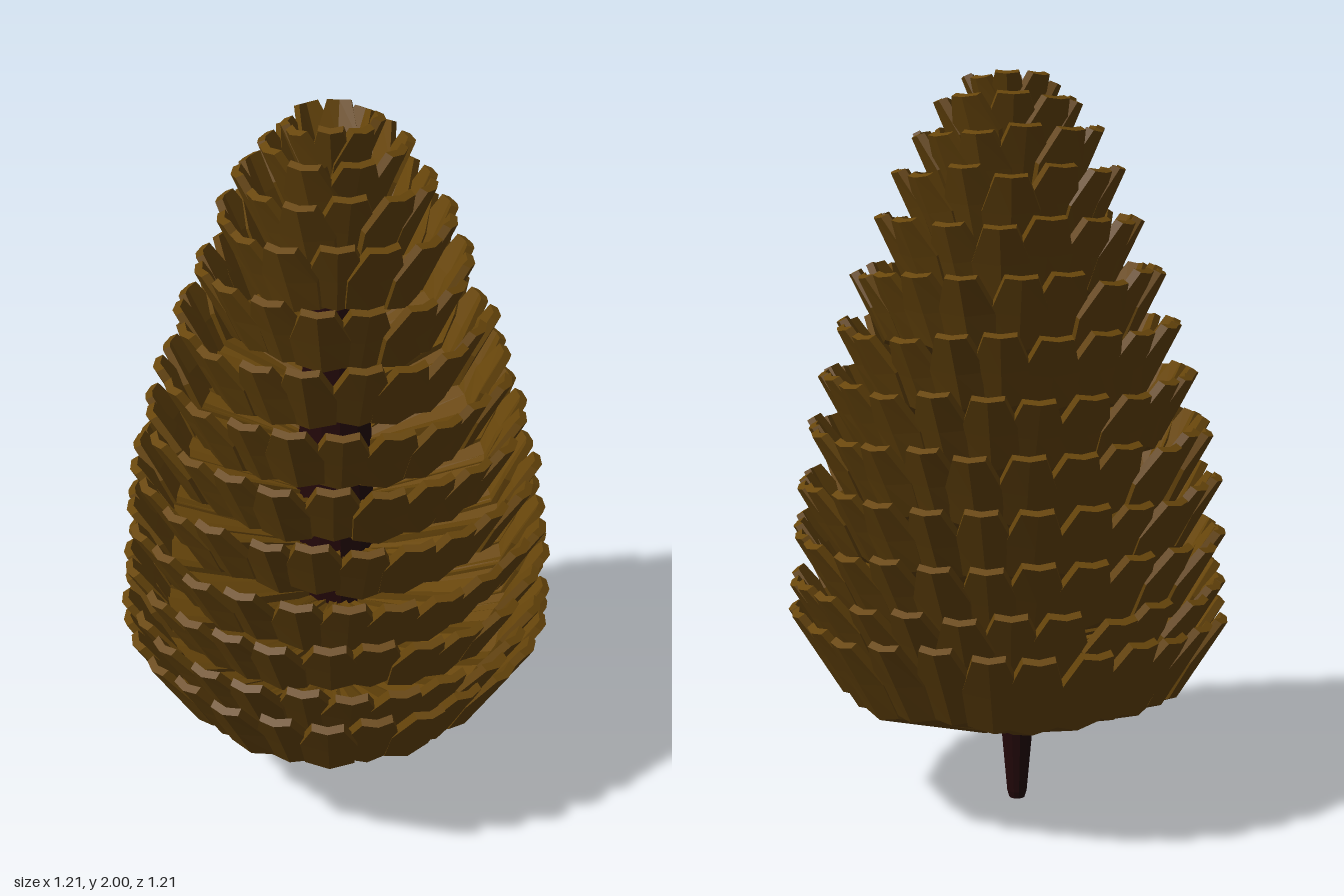
import * as THREE from 'three';
import { mergeGeometries } from 'three/addons/utils/BufferGeometryUtils.js';

const scaleBrown = new THREE.MeshStandardMaterial({ color: 0x68460b });
scaleBrown.name = 'scale brown';
const woodDark = new THREE.MeshStandardMaterial({ color: 0x220709 });
woodDark.name = 'dark wood';

// Small seeded random generator
let seed = 7;
const rand = () => (seed = (seed * 16807) % 2147483647) / 2147483647;
const jitter = (a) => (rand() - 0.5) * 2 * a;

// One keeled scale: a folded plate lofted along a profile of [radius, height, width, fold]
function scaleGeometry(profile, thickness) {
  const rings = profile.map(([r, y, w, fold], i) => {
    const p = profile[Math.max(i - 1, 0)], q = profile[Math.min(i + 1, profile.length - 1)];
    const len = Math.hypot(q[0] - p[0], q[1] - p[1]);
    const nr = -(q[1] - p[1]) / len, ny = (q[0] - p[0]) / len;
    const at = (x, n) => [x, y + ny * n, r + nr * n];
    const h = w / 2, t = thickness;
    return [at(-h, t + fold), at(0, t), at(h, t + fold), at(h, fold), at(0, 0), at(-h, fold)];
  });
  const pos = [];
  const quad = (a, b, c, d) => pos.push(...a, ...b, ...c, ...a, ...c, ...d);
  for (let i = 0; i < rings.length - 1; i++) {
    for (let j = 0; j < 6; j++) {
      const k = (j + 1) % 6;
      quad(rings[i][j], rings[i + 1][j], rings[i + 1][k], rings[i][k]);
    }
  }
  const e = rings[rings.length - 1];
  quad(e[0], e[5], e[4], e[1]);
  quad(e[1], e[4], e[3], e[2]);
  const g = new THREE.BufferGeometry();
  g.setAttribute('position', new THREE.Float32BufferAttribute(pos, 3));
  g.computeVertexNormals();
  return g;
}

// A ring of scales: a flat narrow root, then a steep blade up to the given tip radius and height
function tier(tipR, tipY, index, total) {
  const f = index / (total - 1);
  const count = Math.max(8, Math.round((2 * Math.PI * tipR) / 0.14));
  const width = Math.min(0.15, ((2 * Math.PI * tipR) / count) * 1.08);
  const rise = index === 0 ? 0.22 : 0.185;
  const run = index === 0 ? 0.135 : THREE.MathUtils.lerp(0.115, 0.075, f);
  const rootR = THREE.MathUtils.lerp(0.09, 0.03, f);
  const parts = [];
  for (let i = 0; i < count; i++) {
    const R = tipR + jitter(0.01), Y = tipY + jitter(0.014);
    const kinkR = R - run, kinkY = Y - rise;
    const rootY = kinkY - 0.33 * (kinkR - rootR);
    const g = scaleGeometry([
      [rootR, rootY, width * 0.25, 0.008],
      [kinkR, kinkY, width * 0.88, 0.018],
      [kinkR + run * 0.5, kinkY + rise * 0.5, width, 0.02],
      [R, Y, width * 0.55, 0.01],
    ], 0.022);
    g.rotateY(((i + index * 0.5 + jitter(0.08)) / count) * Math.PI * 2);
    parts.push(g);
  }
  const mesh = new THREE.Mesh(mergeGeometries(parts), scaleBrown);
  mesh.name = 'scaleTier' + (index + 1);
  return mesh;
}

// Turned wooden part with faceted sides
function turned(name, points, sides) {
  const g = new THREE.LatheGeometry(points.map(([r, y]) => new THREE.Vector2(r, y)), sides).toNonIndexed();
  g.computeVertexNormals();
  const mesh = new THREE.Mesh(g, woodDark);
  mesh.name = name;
  return mesh;
}

export function createModel() {
  const model = new THREE.Group();
  model.name = 'pineCone';

  // Overlapping tiers of scales, bottom to top
  const scales = new THREE.Group();
  scales.name = 'scales';
  const tips = [
    [0.6, 0.56], [0.6, 0.65], [0.595, 0.78], [0.58, 0.915], [0.55, 1.055], [0.515, 1.19],
    [0.47, 1.33], [0.42, 1.47], [0.365, 1.61], [0.31, 1.735], [0.26, 1.84], [0.195, 1.92], [0.13, 1.975],
  ];
  tips.forEach(([r, y], i) => scales.add(tier(r, y, i, tips.length)));
  model.add(scales);

  // Central core with a rounded top
  const core = turned('core', [
    [0, 0.23], [0.1, 0.25], [0.12, 0.45], [0.11, 0.9], [0.085, 1.35], [0.058, 1.76], [0.035, 1.81], [0, 1.83],
  ], 12);
  model.add(core);

  // Short tapered stem
  const stem = turned('stem', [[0, 0], [0.022, 0], [0.028, 0.02], [0.048, 0.24]], 12);
  stem.position.set(-0.015, 0, -0.018);
  model.add(stem);

  return model;
}
